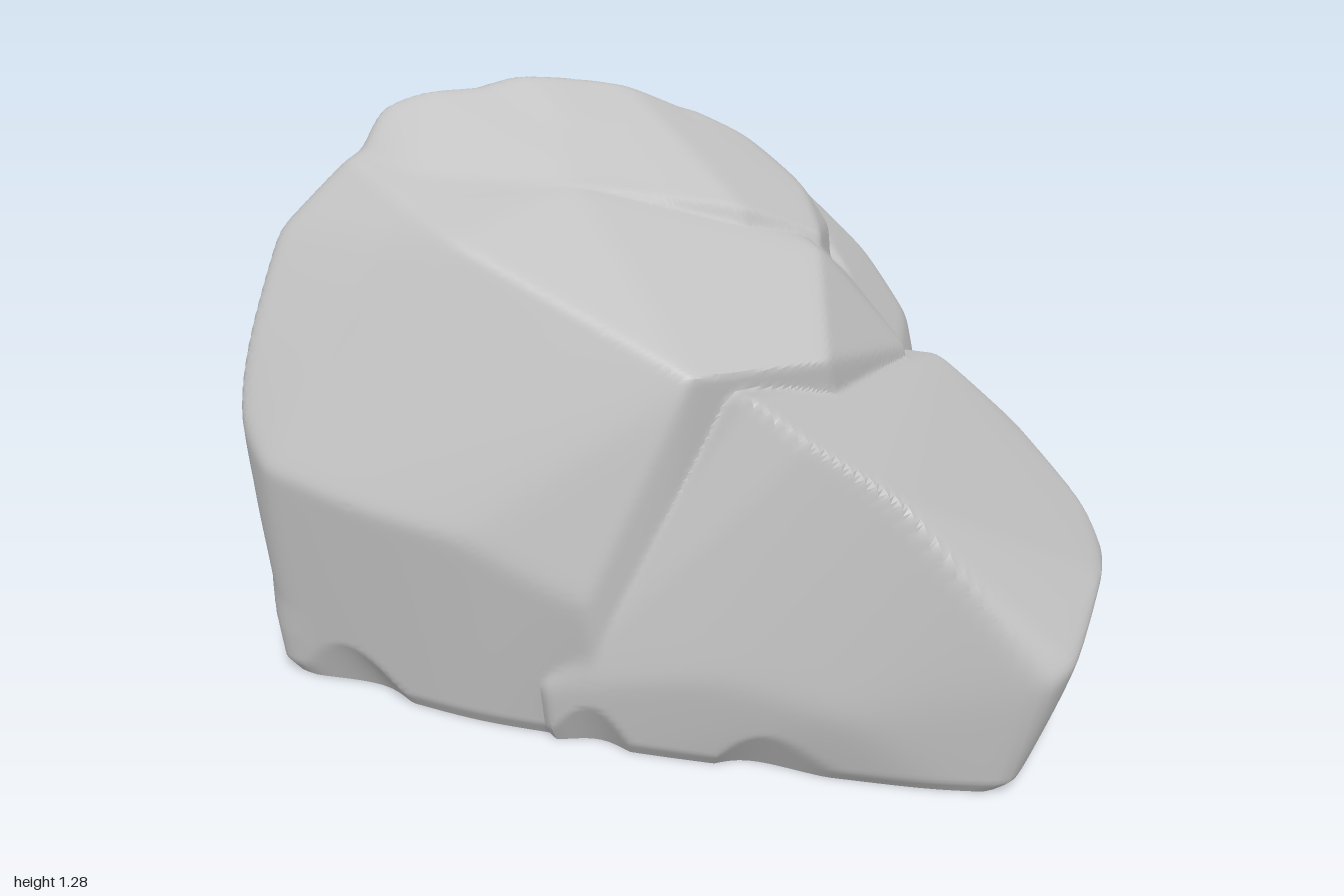
import * as THREE from 'three';
import { mergeVertices, toCreasedNormals } from 'three/addons/utils/BufferGeometryUtils.js';
import { ConvexGeometry } from 'three/addons/geometries/ConvexGeometry.js';

// A boulder as the union of convex stone blocks that all contain one core point.
const CORE = new THREE.Vector3(0, 0.4, 0);
const COLUMNS = 320;
const ROWS = 180;

// Corner points of each block; the lowest ones lie under the ground plane
const mainSlab = [
  // sloping top
  [-0.07, 0.9, 0.63], [-0.5, 1.08, 0.22], [-0.2, 1.13, 0.02], [0.37, 0.95, 0.05], [0.27, 0.84, 0.47],
  // left side and lower front edge
  [-0.98, 0.65, 0.03], [-0.95, 0.78, -0.05], [-0.85, 1, -0.2], [-0.68, 1.15, -0.25],
  [-0.94, 0.57, 0.17], [-0.76, 0.53, 0.33], [-0.55, 0.5, 0.48], [-0.3, 0.38, 0.62], [-0.96, 0.35, 0.08],
  // back left
  [-0.91, 0.3, -0.2], [-0.87, 0.3, -0.45], [-0.78, 0.3, -0.63], [-0.6, 0.3, -0.75], [-0.4, 0.4, -0.76],
  [-0.8, 0.95, -0.4], [-0.6, 1.08, -0.56], [-0.45, 1.15, -0.59], [-0.15, 1.17, -0.62], [0.02, 1.1, -0.66],
  // right side, inside the other blocks
  [0.55, 0.75, -0.3], [0.62, 0.65, 0],
  // foot
  [-0.91, -0.1, 0.1], [-0.55, -0.1, 0.39], [-0.2, -0.1, 0.57], [-0.88, -0.1, -0.2], [-0.8, -0.1, -0.48],
  [-0.55, -0.1, -0.68], [0.5, -0.1, 0.3], [0.5, -0.1, -0.5],
];
const cap = [
  // crest
  [-0.6, 1.23, -0.35], [-0.5, 1.27, -0.36], [-0.2, 1.28, -0.36], [0, 1.25, -0.38], [0.15, 1.18, -0.4], [0.3, 1.1, -0.42],
  // rim
  [-0.7, 1.05, -0.3], [-0.68, 1.1, -0.2], [-0.55, 1.08, 0], [-0.2, 1.13, 0.02], [0.2, 1.05, 0.02], [0.4, 0.95, -0.03],
  [0.42, 1, -0.25], [0.5, 0.88, -0.28], [0.46, 0.95, -0.5], [0.3, 1.02, -0.58], [-0.1, 1.12, -0.6], [-0.5, 1.1, -0.57],
  // foot
  [-0.6, -0.1, 0], [0.5, -0.1, 0], [0.4, -0.1, -0.6], [-0.5, -0.1, -0.6], [0, -0.1, 0.4],
];
const frontWedge = [
  // ridge and top face
  [0.05, 0.85, 0.65], [0.75, 0.58, -0.1], [0.92, 0.42, 0], [0.98, 0.34, 0.3], [0.97, 0.28, 0.45], [0.87, 0.35, 0.66],
  // front nose
  [0.67, 0.32, 0.97], [0.6, 0.3, 1], [0.42, 0.55, 0.94], [0.3, 0.7, 0.88], [0.14, 0.8, 0.78],
  [0.2, 0.2, 0.87], [-0.05, 0.25, 0.75], [-0.38, 0.15, 0.55],
  // right side
  [0.92, 0.3, -0.05], [0.87, 0.36, -0.22], [0.87, 0.2, -0.42], [0.82, 0.08, -0.55],
  // hidden back
  [-0.3, 0.6, 0], [0, 0.7, -0.2],
  // foot
  [-0.35, -0.1, 0.53], [0.52, -0.1, 0.92], [0.83, -0.1, 0.54], [0.87, -0.1, 0.3], [0.84, -0.1, -0.35],
  [0.79, -0.1, -0.56], [0.4, -0.1, -0.6], [-0.4, -0.1, -0.3],
];
const backBlock = [
  // widest line
  [-0.4, 0.4, -0.75], [-0.05, 0.35, -0.88], [0.2, 0.25, -0.98], [0.33, 0.2, -1], [0.5, 0.2, -0.98],
  [0.67, 0.3, -0.88], [0.83, 0.4, -0.68], [0.82, 0.5, -0.55],
  // upper slope
  [0.3, 0.5, -0.86], [0.3, 0.75, -0.75], [0, 0.75, -0.74], [0, 0.95, -0.7], [0, 1.12, -0.64], [0.3, 1.02, -0.62],
  [0.5, 0.9, -0.63], [0.7, 0.7, -0.6], [0.55, 0.78, -0.32], [0.76, 0.57, -0.4],
  // hidden front
  [0.6, 0.6, 0], [-0.3, 0.8, 0.1],
  // foot
  [0.33, -0.1, -0.95], [0.6, -0.1, -0.87], [0.76, -0.1, -0.6], [-0.4, -0.1, -0.7], [0.8, -0.1, 0],
  [0, -0.1, 0.4], [-0.4, -0.1, 0.3],
];

// Face planes of a block, as normals divided by their distance from the core
function facePlanes(corners) {
  const pos = new ConvexGeometry(corners.map((c) => new THREE.Vector3(...c))).attributes.position;
  const planes = [];
  for (let i = 0; i < pos.count; i += 3) {
    const [a, b, c] = [0, 1, 2].map((k) => new THREE.Vector3().fromBufferAttribute(pos, i + k).sub(CORE));
    const n = b.clone().sub(a).cross(c.clone().sub(a)).normalize();
    planes.push(n.divideScalar(n.dot(a)));
  }
  return planes;
}

// Distance from the core to a block's skin, with slightly worn edges
function reach(planes, d) {
  const wear = 150;
  let sum = 0;
  for (const n of planes) sum += Math.pow(Math.max(n.dot(d), 0), wear);
  return Math.pow(sum, -1 / wear);
}

// Slanting rock layers on the back left: a slow rise, then a short drop
function layers(p, d) {
  const s = ((p.z - p.x) * 0.58 + p.y * 0.57) / 0.36 + 10;
  const f = s - Math.floor(s);
  const saw = f < 0.85 ? f / 0.85 : (1 - f) / 0.15;
  const facing = (-0.45 * d.x - 0.9 * d.z - 0.25) / 0.4;
  return 0.035 * (saw - 0.5) * THREE.MathUtils.clamp(facing, 0, 1);
}

function boulderGeometry() {
  const blocks = [mainSlab, cap, frontWedge, backBlock].map(facePlanes);
  const d = new THREE.Vector3();

  // Skin point at an azimuth and elevation seen from the core, blocks blended at the creases
  function skin(azimuth, elevation, p) {
    const blend = 160;
    const c = Math.cos(elevation);
    d.set(Math.sin(azimuth) * c, Math.sin(elevation), Math.cos(azimuth) * c);
    const t = Math.pow(blocks.reduce((sum, b) => sum + Math.pow(reach(b, d), blend), 0), 1 / blend);
    p.copy(d).multiplyScalar(t).add(CORE);
    return p.addScaledVector(d, t * layers(p, d));
  }

  // Elevation at which the skin meets the ground
  const probe = new THREE.Vector3();
  const groundElevation = (azimuth) => {
    let low = -1.4;
    let high = 0;
    for (let i = 0; i < 26; i++) {
      const mid = (low + high) / 2;
      if (skin(azimuth, mid, probe).y < 0) low = mid;
      else high = mid;
    }
    return high;
  };
  const ground = Array.from({ length: COLUMNS }, (_, i) => groundElevation((i / COLUMNS) * Math.PI * 2));

  // A sheet wrapped around the core: top row is the summit, last row the base centre
  let geo = new THREE.PlaneGeometry(1, 1, COLUMNS, ROWS);
  geo.deleteAttribute('uv');
  geo.deleteAttribute('normal');
  const pos = geo.attributes.position;
  const p = new THREE.Vector3();
  for (let i = 0; i < pos.count; i++) {
    const column = (i % (COLUMNS + 1)) % COLUMNS;
    const row = Math.floor(i / (COLUMNS + 1));
    const azimuth = (column / COLUMNS) * Math.PI * 2;
    if (row === ROWS) p.set(0, 0, 0);
    else skin(azimuth, THREE.MathUtils.lerp(Math.PI / 2, ground[column], row / (ROWS - 1)), p);
    // Lower rim, worn all round and chipped higher in places
    const chip = Math.max(0, 0.6 * Math.sin(azimuth * 9) + 0.5 * Math.sin(azimuth * 14 + 1));
    const height = 0.035 + 0.1 * chip;
    const k = 1 - (0.025 + 0.05 * chip) * Math.max(0, 1 - p.y / height);
    pos.setXYZ(i, p.x * k, Math.max(p.y, 0), p.z * k);
  }
  geo = mergeVertices(geo, 1e-5);
  return toCreasedNormals(geo, 0.6);
}

export function createModel() {
  const stone = new THREE.MeshStandardMaterial({ color: 0xc4c4c4 });
  stone.name = 'stone grey';
  const boulder = new THREE.Mesh(boulderGeometry(), stone);
  boulder.name = 'boulder';
  const group = new THREE.Group();
  group.name = 'rock';
  group.add(boulder);
  return group;
}
